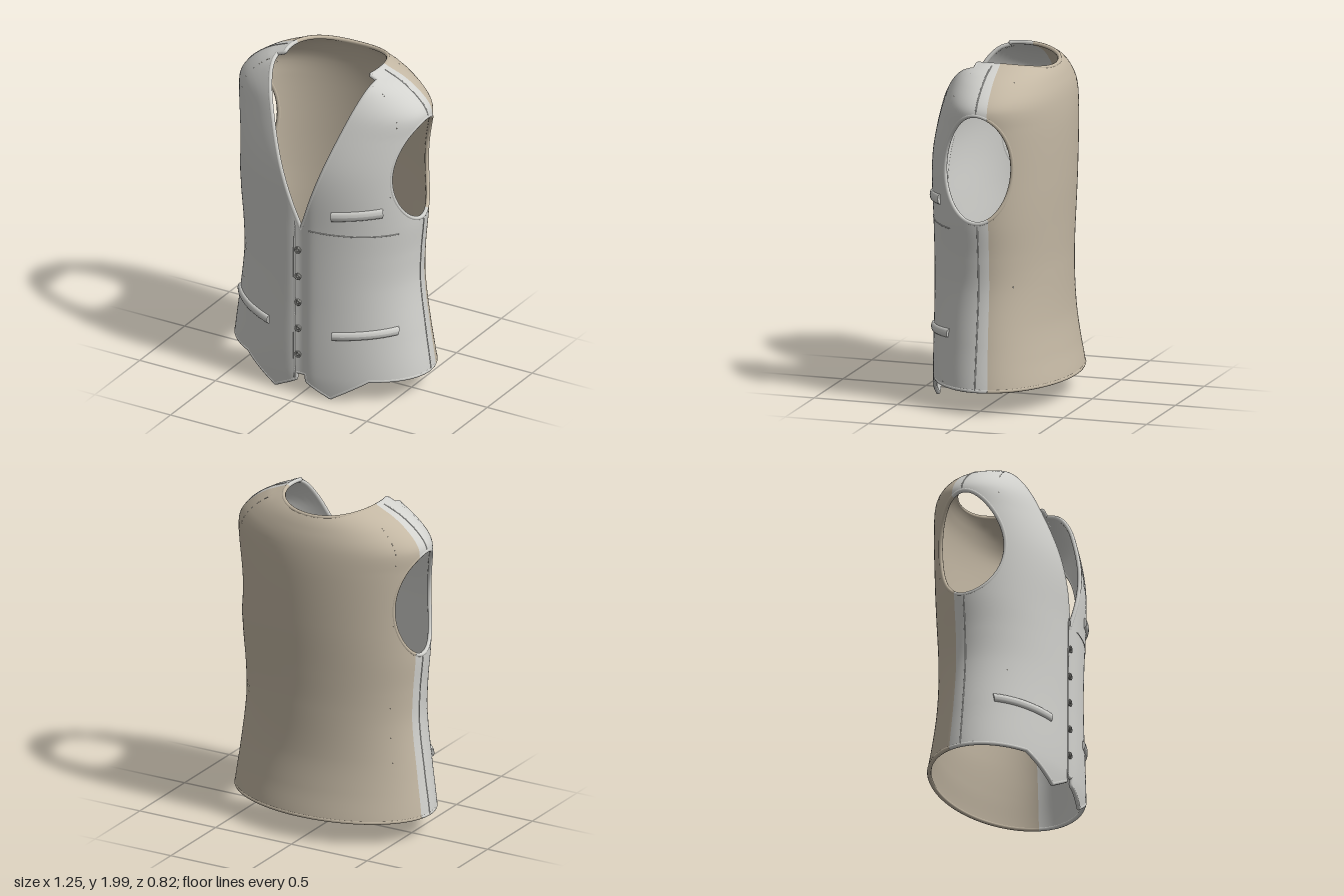
import * as THREE from 'three';
import { mergeGeometries } from 'three/addons/utils/BufferGeometryUtils.js';

const THICK = 0.02, HALF = Math.PI / 2;
const SEAM = -0.2;              // angle where front cloth meets back cloth
const ARM = { a: 0.57, y: 1.43, h: 0.32 }; // armhole ellipse in (angle, height)
const NOTCH = 0.38;             // angle of the small step at the top of the lapel

// Smooth interpolation through [y, value] pairs
function profile(pts) {
  const slope = pts.map((_, i) => {
    const p = pts[Math.max(0, i - 1)], q = pts[Math.min(pts.length - 1, i + 1)];
    return (q[1] - p[1]) / (q[0] - p[0]);
  });
  return (y) => {
    let i = 0;
    while (i < pts.length - 2 && y > pts[i + 1][0]) i++;
    const d = pts[i + 1][0] - pts[i][0], t = Math.min(1, Math.max(0, (y - pts[i][0]) / d));
    const t2 = t * t, t3 = t2 * t;
    return pts[i][1] * (2 * t3 - 3 * t2 + 1) + slope[i] * d * (t3 - 2 * t2 + t)
      + pts[i + 1][1] * (3 * t2 - 2 * t3) + slope[i + 1] * d * (t3 - t2);
  };
}

// Half width, front depth and back depth of the torso by height
const width = profile([[-0.05, 0.635], [0.14, 0.625], [0.4, 0.59], [0.7, 0.555], [0.9, 0.56], [1.1, 0.578],
  [1.4, 0.588], [1.65, 0.6], [1.76, 0.605], [1.82, 0.575], [1.89, 0.5], [1.94, 0.42], [1.965, 0.36],
  [1.985, 0.31], [2.03, 0.2]]);
const front = profile([[-0.05, 0.383], [0.14, 0.403], [0.6, 0.404], [1.05, 0.409], [1.3, 0.418], [1.45, 0.41],
  [1.6, 0.38], [1.78, 0.325], [1.9, 0.28], [1.965, 0.255], [2.03, 0.235]]);
const back = profile([[-0.05, 0.43], [0.14, 0.408], [0.3, 0.378], [0.5, 0.352], [0.8, 0.345], [1.0, 0.35],
  [1.3, 0.362], [1.6, 0.366], [1.75, 0.357], [1.85, 0.335], [1.945, 0.29], [2.03, 0.2]]);

// Point on the left half of the torso: a = 0 at the side, +90 deg at the front, -90 deg at the back
function raw(a, y) {
  const x = width(y) * Math.cos(a);
  const z = (a > 0 ? front(y) : back(y)) * Math.sin(a);
  return new THREE.Vector3(x, y, a > 0 ? z - 0.012 * Math.exp(-((x / 0.05) ** 2)) : z);
}
function normalAt(a, y) {
  const e = 0.003;
  const da = raw(a + e, y).sub(raw(a - e, y)), dy = raw(a, y + e).sub(raw(a, y - e));
  return dy.cross(da).normalize();
}
const surf = (a, y, off = 0) => raw(a, y).addScaledVector(normalAt(a, y), off);
// Point on the front by x and y
function onFront(x, y, off) {
  const p = surf(Math.acos(Math.min(1, Math.abs(x) / width(y))), y, off);
  if (x < 0) p.x *= -1;
  return p;
}

function solve(f, lo, hi) {     // f falls from positive to negative
  for (let i = 0; i < 40; i++) {
    const m = (lo + hi) / 2;
    if (f(m) > 0) lo = m; else hi = m;
  }
  return (lo + hi) / 2;
}

// Upper edge: V-shaped lapel at the front, round neck at the shoulder and back
function top(a) {
  if (a > NOTCH + 0.002) return solve((y) => width(y) * Math.cos(a) - (y - 1.05) * 0.367, 1.04, 2.0);
  return solve((y) => 1.945 + 0.045 * (width(y) * Math.cos(a) / 0.3) ** 2 - y, 1.9, 2.02);
}
// Lower edge: straight with two points at the front
const HEM = [[0, 0.135], [0.03, 0.135], [0.036, 0.09], [0.18, 0.014], [0.4, 0.148], [0.7, 0.148]];
function hem(a) {
  if (a <= 0) return 0.148;
  const x = Math.max(0, 0.625 * Math.cos(a));
  const i = HEM.findIndex((p, k) => k < HEM.length - 1 && x <= HEM[k + 1][0]);
  const [p, q] = [HEM[i], HEM[i + 1]];
  return p[1] + (q[1] - p[1]) * (x - p[0]) / (q[0] - p[0]);
}
const armhole = (a, s) => ARM.y + s * ARM.h * Math.sqrt(Math.max(0, 1 - (a / ARM.a) ** 2));

const span = (a, b, n) => Array.from({ length: n + 1 }, (_, i) => a + (b - a) * i / n);
const T0 = Math.asin(SEAM / ARM.a);
const frontArm = [...span(T0, HALF, 22).map((t) => ARM.a * Math.sin(t)), NOTCH, NOTCH + 0.005].sort((a, b) => a - b);
const backArm = span(-HALF, T0, 12).map((t) => ARM.a * Math.sin(t));
const knots = [ARM.a, ...[0.4, 0.18, 0.036, 0.03].map((x) => Math.acos(x / 0.625)), HALF];
const steps = [10, 14, 9, 1, 2];
const frontMid = [ARM.a, ...steps.flatMap((n, i) => span(knots[i], knots[i + 1], n).slice(1))];
const backMid = span(-HALF, -ARM.a, 24);

// Grid of cloth between two edges; off = depth below the outer face
function sheet(cols, lo, hi, rows, off) {
  const pos = [], nor = [], idx = [], inner = off < 0;
  cols.forEach((a, i) => {
    const y0 = lo(a), y1 = hi(a);
    for (let j = 0; j <= rows; j++) {
      const y = y0 + (y1 - y0) * j / rows, n = normalAt(a, y);
      pos.push(...raw(a, y).addScaledVector(n, off).toArray());
      nor.push(...(inner ? n.negate() : n).toArray());
      if (i < cols.length - 1 && j < rows) {
        const p = i * (rows + 1) + j, q = p + rows + 1;
        idx.push(...(inner ? [p, q, p + 1, p + 1, q, q + 1] : [p, p + 1, q, p + 1, q + 1, q]));
      }
    }
  });
  const g = new THREE.BufferGeometry();
  g.setAttribute('position', new THREE.Float32BufferAttribute(pos, 3));
  g.setAttribute('normal', new THREE.Float32BufferAttribute(nor, 3));
  g.setIndex(idx);
  return g;
}
function mirrored(g) {
  const m = g.clone().scale(-1, 1, 1), ix = m.index.array;
  for (let i = 0; i < ix.length; i += 3) [ix[i], ix[i + 1]] = [ix[i + 1], ix[i]];
  return m;
}
const both = (list) => mergeGeometries([...list, ...list.map(mirrored)]);
function cord(points, r = 0.0125, per = 3) {
  const c = new THREE.CatmullRomCurve3(points, false, 'centripetal');
  return new THREE.TubeGeometry(c, points.length * per, r, 8, false);
}

export function createModel() {
  const model = new THREE.Group();
  const mat = (name, color) => Object.assign(new THREE.MeshStandardMaterial({ color }), { name });
  const cloth = mat('light grey cloth', 0xd2d2ce);
  const lining = mat('beige cloth', 0xc4b8a4);
  const metal = mat('button grey', 0xa6a6a1);
  const add = (name, geo, m, parent = model) => {
    const mesh = new THREE.Mesh(geo, m);
    mesh.name = name;
    parent.add(mesh);
    return mesh;
  };

  // Front and back panels, each an outer and an inner face, with rolled edges
  const parts = [
    ['front', cloth, frontArm, frontMid, span(T0, Math.PI - T0, 40)],
    ['back', lining, backArm, backMid, span(Math.PI - T0, 2 * Math.PI + T0, 30)],
  ];
  for (const [name, m, arm, mid, ring] of parts) {
    const faces = [0, -THICK].flatMap((off) => [
      sheet(arm, hem, (a) => armhole(a, -1), 30, off),
      sheet(arm, (a) => armhole(a, 1), top, 24, off),
      sheet(mid, hem, top, 56, off),
    ]);
    add(name + 'Panel', both(faces), m);
    const cols = [...arm, ...mid].sort((a, b) => a - b).filter((a, i, l) => !i || a - l[i - 1] > 1e-4);
    const edge = (f) => cord(cols.map((a) => surf(a, f(a), -THICK / 2)));
    add(name + 'Hem', both([edge(hem)]), m);
    add(name + 'Neckline', both([edge(top)]), m);
    const hole = ring.map((t) => surf(ARM.a * Math.sin(t), ARM.y - ARM.h * Math.cos(t), -THICK / 2));
    add(name + 'ArmholeEdge', both([cord(hole)]), m);
  }

  // Side and shoulder seams
  add('sideSeam', both([
    cord(span(0.15, 1.1, 24).map((y) => surf(-0.02, y, -0.001)), 0.004),
    cord(span(1.76, 1.98, 10).map((y) => surf(-0.02, y, -0.001)), 0.004),
  ]), cloth);

  // Overlapping front edge and the chest seam
  add('placketEdge', cord(span(0.1, 1.1, 20).map((y) => onFront(-0.04, y, -0.001)), 0.006), cloth);
  add('chestSeam', cord(span(0.06, 0.52, 20).map((x) => onFront(x, 1.06, -0.001)), 0.004), cloth);

  // Pocket welts: flattened rods bent to the body
  function welt(name, x0, y0, x1, y1, h) {
    const g = new THREE.CylinderGeometry(1, 1, 1, 14, 18), p = g.attributes.position;
    const s = Math.sign(x0);
    for (let i = 0; i < p.count; i++) {
      const t = s * p.getY(i) + 0.5;
      const v = onFront(x0 + (x1 - x0) * t, y0 + (y1 - y0) * t - s * p.getX(i) * h * s, p.getZ(i) * 0.016);
      p.setXYZ(i, v.x, v.y, v.z);
    }
    // keep faces outward on whichever side the welt lies
    g.computeVertexNormals();
    const mid = onFront((x0 + x1) / 2, (y0 + y1) / 2, 0), n = g.attributes.normal;
    let dot = 0;
    for (let i = 0; i < p.count; i++) dot += (p.getZ(i) - mid.z) * n.getZ(i) + (p.getY(i) - mid.y) * n.getY(i);
    if (dot < 0) {
      const ix = g.index.array;
      for (let i = 0; i < ix.length; i += 3) [ix[i], ix[i + 1]] = [ix[i + 1], ix[i]];
      g.computeVertexNormals();
    }
    add(name, g, cloth);
  }
  welt('leftHipPocket', 0.2, 0.415, 0.52, 0.45, 0.026);
  welt('rightHipPocket', -0.22, 0.412, -0.535, 0.445, 0.026);
  welt('chestPocket', 0.2, 1.18, 0.46, 1.212, 0.03);

  // Buttons
  for (const y of [0.92, 0.75, 0.585, 0.42, 0.255]) {
    const button = new THREE.Group();
    button.name = 'button';
    button.position.copy(onFront(-0.015, y, 0.004));
    add('buttonDisc', new THREE.CylinderGeometry(0.018, 0.018, 0.012, 20).rotateX(HALF), metal, button);
    add('buttonRim', new THREE.TorusGeometry(0.016, 0.005, 8, 20).translate(0, 0, 0.005), metal, button);
    add('buttonStud', new THREE.SphereGeometry(0.006, 10, 8).translate(0, 0, 0.006), metal, button);
    model.add(button);
  }
  return model;
}
